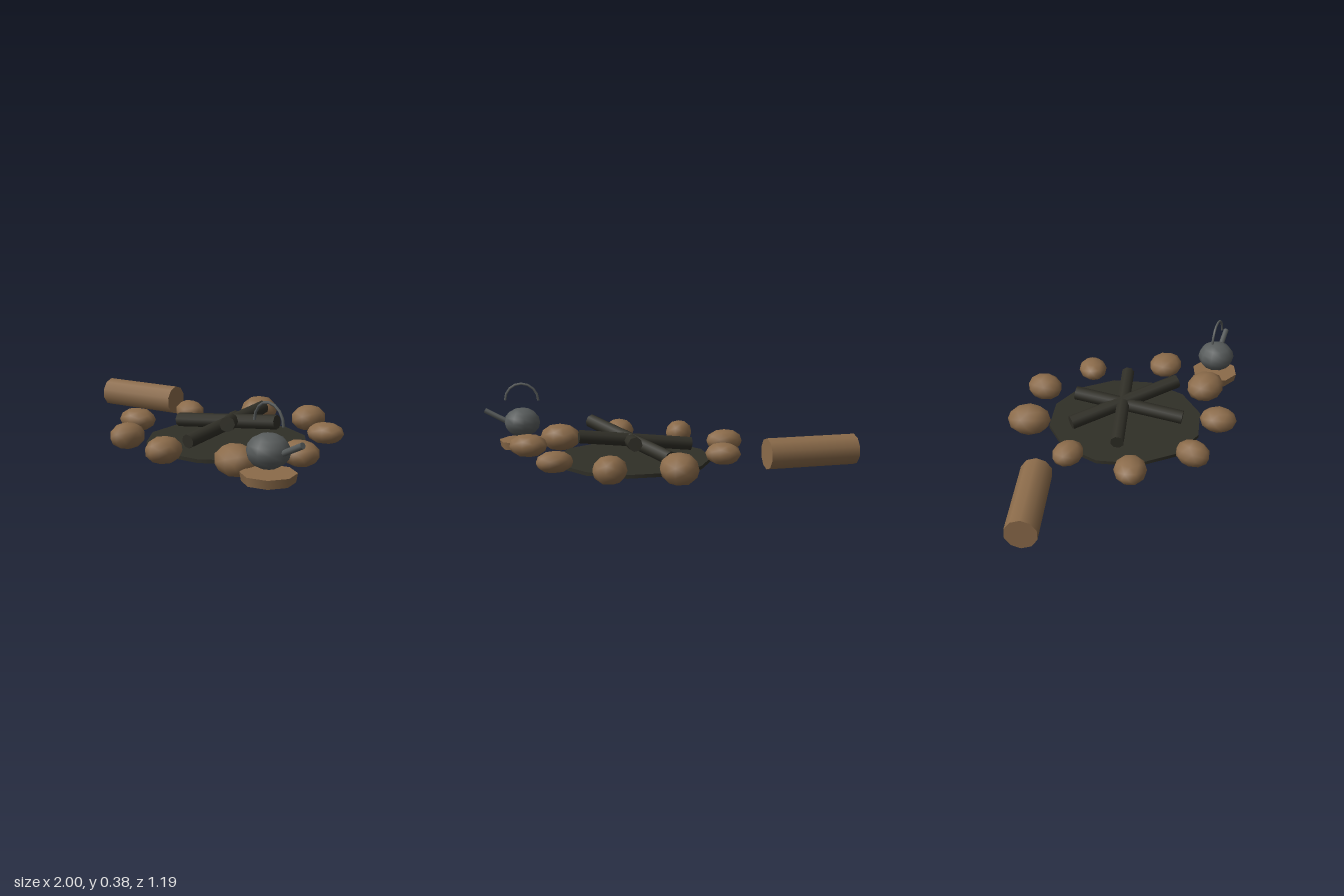
import * as THREE from 'three';

const mat = (name, color) => {
  const m = new THREE.MeshStandardMaterial({ color });
  m.name = name;
  return m;
};

export function createModel() {
  const group = new THREE.Group();
  const brown = mat('earthy brown', 0x8b6b4a);
  const char = mat('charred black', 0x302f27);
  const iron = mat('iron grey', 0x575b5b);

  const add = (name, geometry, material, x = 0, y = 0, z = 0) => {
    const mesh = new THREE.Mesh(geometry, material);
    mesh.name = name;
    mesh.position.set(x, y, z);
    group.add(mesh);
    return mesh;
  };

  // Round bar between two points
  const bar = (name, from, to, radius, sides, material) => {
    const a = new THREE.Vector3(...from), b = new THREE.Vector3(...to);
    const dir = b.clone().sub(a);
    const mesh = add(name, new THREE.CylinderGeometry(radius, radius, dir.length(), sides), material);
    mesh.position.copy(a).add(b).multiplyScalar(0.5);
    mesh.quaternion.setFromUnitVectors(new THREE.Vector3(0, 1, 0), dir.normalize());
    return mesh;
  };

  // Ash bed
  add('ashBed', new THREE.CylinderGeometry(0.41, 0.41, 0.018, 12), char, 0.15, 0.033, 0.01);

  // Ring of stones: x, y, z, half sizes, yaw
  const stones = [
    [0.705, 0.09, 0.045, 0.103, 0.062, 0.09, -0.2],
    [0.575, 0.08, 0.325, 0.115, 0.076, 0.097, -0.3],
    [0.26, 0.09, 0.492, 0.083, 0.066, 0.098, 0.2],
    [-0.08, 0.087, 0.46, 0.073, 0.068, 0.092, -0.2],
    [-0.33, 0.09, 0.22, 0.1, 0.061, 0.083, 0.35],
    [-0.315, 0.09, -0.12, 0.092, 0.058, 0.074, -0.2],
    [-0.1, 0.084, -0.44, 0.095, 0.08, 0.115, 0.3],
    [0.225, 0.09, -0.5, 0.084, 0.07, 0.098, -0.1],
    [0.51, 0.088, -0.33, 0.095, 0.055, 0.078, 0.5],
  ];
  for (const [x, y, z, sx, sy, sz, yaw] of stones) {
    const stone = add('ringStone', new THREE.IcosahedronGeometry(1, 1), brown, x, y, z);
    stone.scale.set(sx, sy, sz);
    stone.rotation.y = yaw;
  }

  // Crossed burnt sticks
  bar('burntStick', [-0.15, 0.1, 0.08], [0.42, 0.165, -0.08], 0.036, 8, char);
  bar('burntStick', [-0.05, 0.085, -0.22], [0.39, 0.193, 0.215], 0.037, 8, char);
  bar('burntStick', [0.21, 0.09, 0.31], [0.12, 0.163, -0.265], 0.036, 8, char);

  // Seat log
  const dx = 0.225, dz = 0.069;
  bar('seatLog', [-0.755 - dx, 0.105, -0.12 + dz], [-0.755 + dx, 0.105, -0.12 - dz], 0.079, 10, brown);

  // Flat stone below the kettle
  add('kettleSlab', new THREE.CylinderGeometry(0.128, 0.12, 0.042, 8), brown, 0.785, 0.047, 0.317);

  // Kettle body, spout and handle
  const kettle = add('kettleBody', new THREE.SphereGeometry(0.1, 10, 8), iron, 0.785, 0.165, 0.32);
  kettle.scale.y = 0.8;
  bar('kettleSpout', [0.87, 0.17, 0.317], [0.99, 0.23, 0.317], 0.015, 7, iron);
  const handle = add('kettleHandle', new THREE.TorusGeometry(0.092, 0.007, 5, 8, Math.PI), iron, 0.785, 0.287, 0.32);
  handle.rotation.y = 0;

  return group;
}
